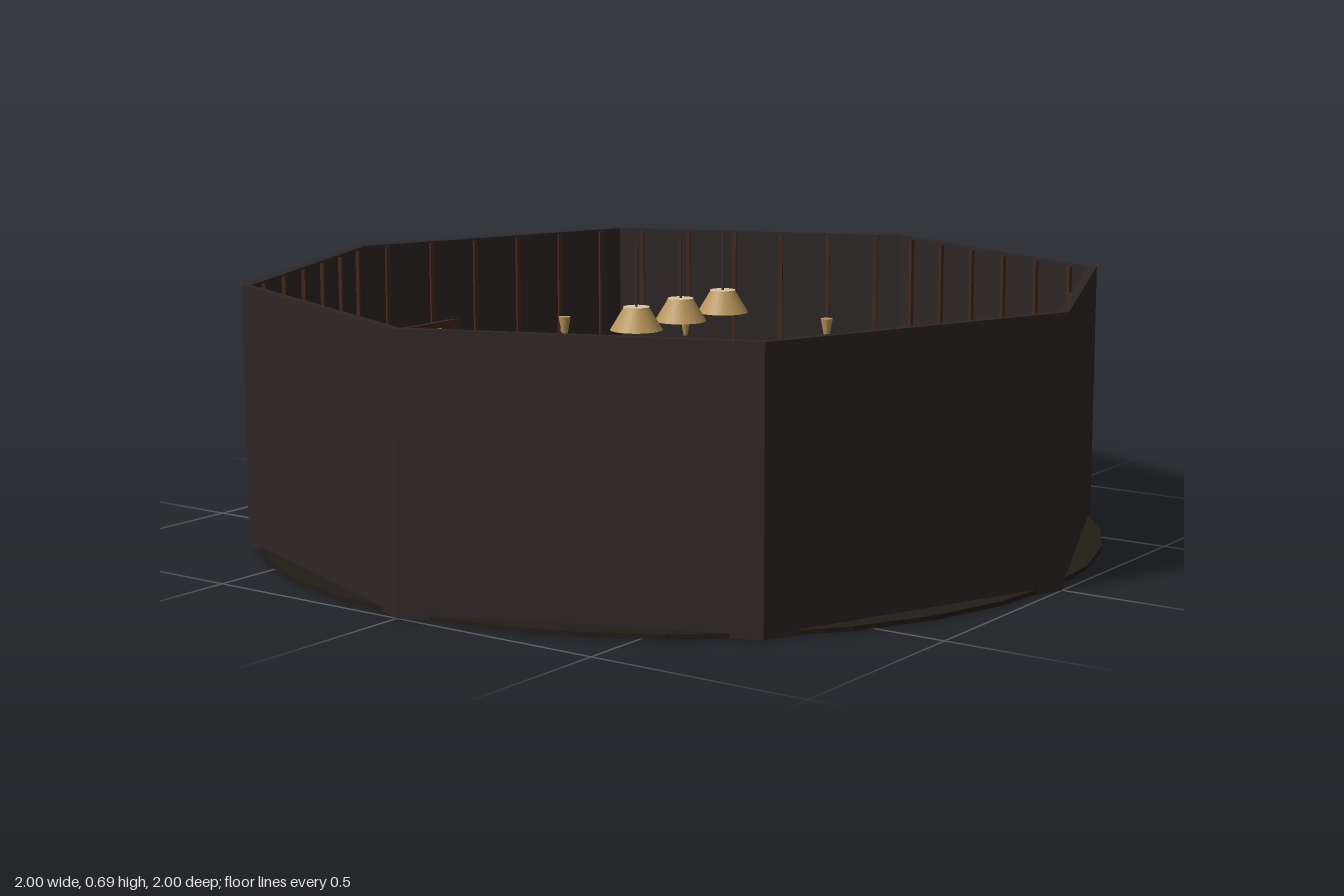
import * as THREE from 'three';

const mat = (color, flatShading = false) => new THREE.MeshStandardMaterial({ color, flatShading });
const wallMat = mat(0x2e2627, true);
const darkMat = mat(0x241e1f, true);
const floorMat = mat(0x221d17, true);
const woodMat = mat(0x42281f, true);
const goldMat = mat(0xb8955a);
const paleMat = mat(0xe0c49a);
const wireMat = mat(0x333333);

function add(parent, name, geometry, material, x = 0, y = 0, z = 0) {
  const mesh = new THREE.Mesh(geometry, material);
  mesh.name = name;
  mesh.position.set(x, y, z);
  parent.add(mesh);
  return mesh;
}

// Hollow prism: closed rectangular section turned about y
function band(parent, name, rOut, rIn, y0, y1, sides, material) {
  const section = [[rIn, y0], [rOut, y0], [rOut, y1], [rIn, y1], [rIn, y0]];
  const points = section.map(([r, y]) => new THREE.Vector2(r, y));
  return add(parent, name, new THREE.LatheGeometry(points, sides), material);
}

const box = (w, h, d) => new THREE.BoxGeometry(w, h, d);
const rod = (rTop, rBottom, h, sides = 16) => new THREE.CylinderGeometry(rTop, rBottom, h, sides);

function makeSconce() {
  const g = new THREE.Group();
  g.name = 'sconce';
  add(g, 'sconceCup', rod(0.016, 0.009, 0.038, 12), goldMat, 0, 0.36, 0);
  add(g, 'sconceTip', rod(0.009, 0.005, 0.02, 12), goldMat, 0, 0.331, 0);
  add(g, 'sconceBracket', box(0.01, 0.012, 0.025), goldMat, 0, 0.345, 0.012);
  return g;
}

function makeStool() {
  const g = new THREE.Group();
  g.name = 'stool';
  add(g, 'stoolBase', rod(0.036, 0.04, 0.012, 24), goldMat, 0, 0.006, 0);
  add(g, 'stoolPole', rod(0.009, 0.009, 0.13, 12), goldMat, 0, 0.07, 0);
  add(g, 'stoolSeat', rod(0.035, 0.035, 0.016, 24), woodMat, 0, 0.142, 0);
  return g;
}

function makePendant() {
  const g = new THREE.Group();
  g.name = 'pendantLamp';
  const shade = add(g, 'lampShade', new THREE.CylinderGeometry(0.03, 0.06, 0.05, 24, 1, true),
    goldMat.clone(), 0, 0.52, 0);
  shade.material.side = THREE.DoubleSide;
  add(g, 'lampCap', rod(0.03, 0.03, 0.006, 24), paleMat, 0, 0.545, 0);
  add(g, 'lampBulb', new THREE.SphereGeometry(0.02, 16, 10), paleMat, 0, 0.515, 0);
  add(g, 'lampWire', rod(0.003, 0.003, 0.145, 6), wireMat, 0, 0.6175, 0);
  return g;
}

export function createModel() {
  const model = new THREE.Group();
  model.name = 'octagonalLounge';

  // Ring floor and octagonal shell
  band(model, 'floor', 0.98, 0.565, 0.001, 0.011, 32, floorMat);
  band(model, 'outerWall', 1, 0.978, 0, 0.6, 8, wallMat);
  band(model, 'wainscot', 0.979, 0.97, 0, 0.2, 8, darkMat);
  band(model, 'baseboard', 0.979, 0.96, 0, 0.06, 8, woodMat);
  band(model, 'chairRail', 0.979, 0.957, 0.2, 0.22, 8, woodMat);

  // Battens and sconces on each of the eight walls
  for (let i = 0; i < 8; i++) {
    const side = new THREE.Group();
    side.name = 'wallSide';
    side.rotation.y = Math.PI / 8 + i * Math.PI / 4;
    model.add(side);
    for (let j = 0; j < 6; j++) {
      const x = ((j + 0.5) / 6 - 0.5) * 0.75;
      add(side, 'batten', box(0.01, 0.375, 0.01), woodMat, x, 0.4075, 0.9);
    }
    for (const s of [-1, 1]) {
      const sconce = makeSconce();
      sconce.position.set(s * 0.19, 0, 0.881);
      side.add(sconce);
    }
  }

  // Railing around the opening
  const rail = add(model, 'railing', new THREE.TorusGeometry(0.625, 0.005, 8, 64), goldMat, 0, 0.2, 0);
  rail.rotation.x = Math.PI / 2;
  for (let i = 0; i < 20; i++) {
    const a = i * Math.PI / 10;
    add(model, 'railingPost', rod(0.004, 0.004, 0.2, 8), goldMat,
      0.625 * Math.sin(a), 0.1, 0.625 * Math.cos(a));
  }

  // Bar with back panel and shelves
  const bar = new THREE.Group();
  bar.name = 'bar';
  model.add(bar);
  add(bar, 'barBody', box(0.58, 0.2, 0.095), woodMat, 0, 0.1, -0.8375);
  add(bar, 'barTop', box(0.6, 0.016, 0.115), goldMat, 0, 0.208, -0.8325);
  add(bar, 'backPanel', box(0.56, 0.19, 0.014), woodMat, 0, 0.3, -0.883);
  for (const y of [0.26, 0.325]) {
    add(bar, 'bottleShelf', box(0.48, 0.006, 0.012), goldMat, 0, y, -0.873);
  }

  // Stools in front of the bar, pendants over the opening
  for (const i of [-1, 0, 1]) {
    const stool = makeStool();
    stool.position.set(i * 0.203, 0, -0.73);
    const lamp = makePendant();
    lamp.position.x = i * 0.172;
    model.add(stool, lamp);
  }
  return model;
}
